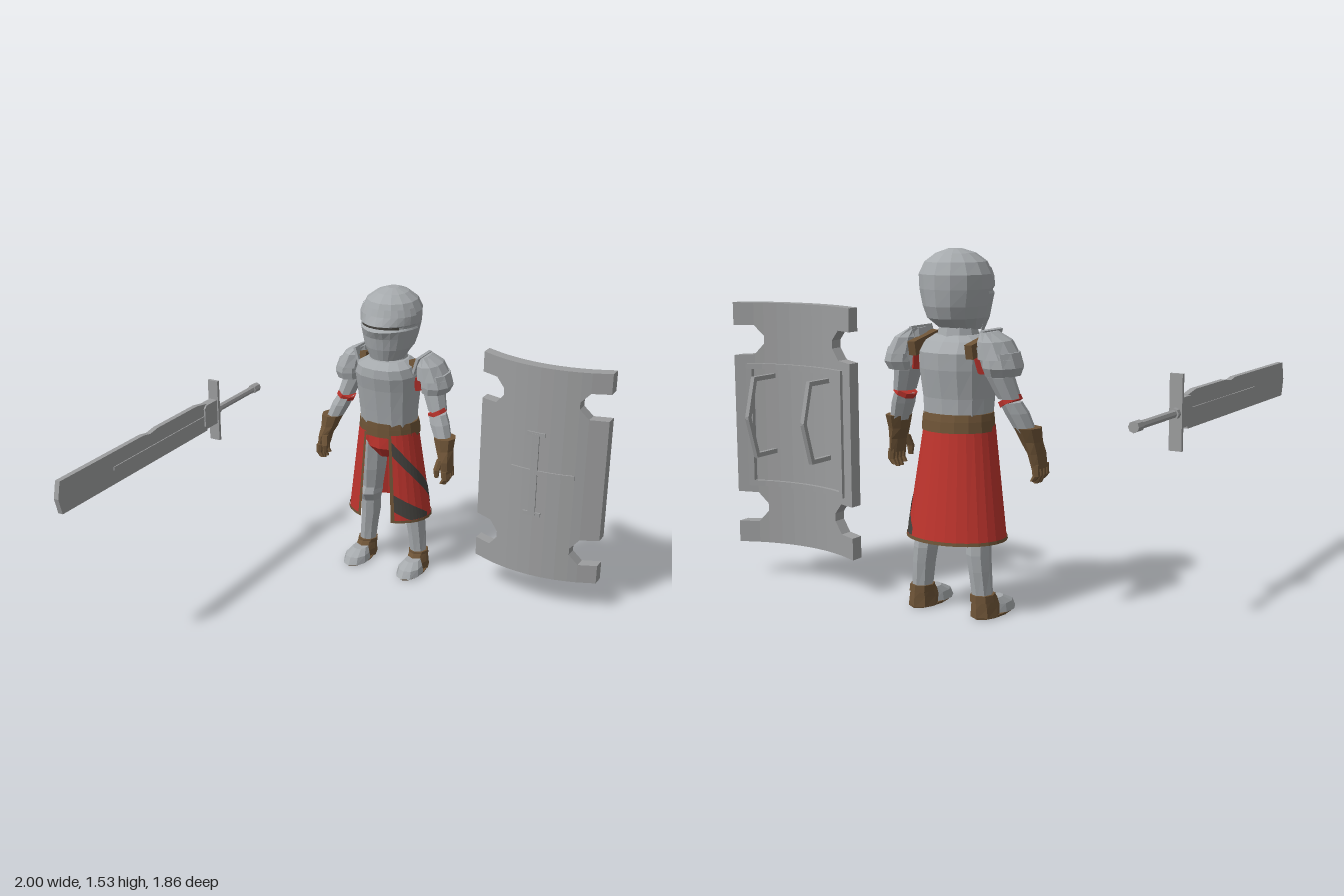
import * as THREE from 'three';

const mat = (name, color) =>
  new THREE.MeshStandardMaterial({ name, color, flatShading: true, side: THREE.DoubleSide });

export function createModel() {
  const steel = mat('armour steel', 0xa6aaad);
  const iron = mat('weapon iron', 0x9c9d9e);
  const red = mat('red cloth', 0xbe342d);
  const leather = mat('brown leather', 0x6e5437);
  const dark = mat('dark grey', 0x45433f);

  const root = new THREE.Group();
  root.name = 'armouredSoldier';
  const group = (name, parent = root) => {
    const g = new THREE.Group();
    g.name = name;
    parent.add(g);
    return g;
  };
  const add = (parent, name, geo, material) => {
    const m = new THREE.Mesh(geo, material);
    m.name = name;
    parent.add(m);
    return m;
  };

  const fromGrid = (pos, idx) => {
    const g = new THREE.BufferGeometry();
    g.setAttribute('position', new THREE.Float32BufferAttribute(pos, 3));
    g.setIndex(idx);
    g.computeVertexNormals();
    return g;
  };

  // Skin over stacked rings [x, y, z, rx, rz, beak]; a0..a1 limits the arc (0 = front)
  function loft(rings, { n = 10, a0 = 0, a1 = Math.PI * 2, e = 1, s = 1 } = {}) {
    const rs = rings[0][1] > rings.at(-1)[1] ? [...rings].reverse() : rings;
    const pos = [], idx = [], w = n + 1;
    const pow = (v) => Math.sign(v) * Math.abs(v) ** e;
    for (const [x, y, z, rx, rz, beak = 0] of rs)
      for (let j = 0; j <= n; j++) {
        const a = a0 + ((a1 - a0) * j) / n, c = Math.cos(a);
        pos.push(x * s + rx * pow(Math.sin(a)), y, z + rz * pow(c) + beak * Math.max(0, c) ** 5);
      }
    for (let i = 0; i < rs.length - 1; i++)
      for (let j = 0; j < n; j++) {
        const p = i * w + j;
        idx.push(p, p + 1, p + w + 1, p, p + w + 1, p + w);
      }
    if (a1 - a0 > 6.28)
      [0, rs.length - 1].forEach((r) => {
        const c = pos.length / 3;
        pos.push(rs[r][0] * s, rs[r][1], rs[r][2]);
        for (let j = 0; j < n; j++) {
          const p = r * w + j;
          r ? idx.push(c, p, p + 1) : idx.push(c, p + 1, p);
        }
      });
    return fromGrid(pos, idx);
  }

  // Square bar between two points
  function beam(parent, name, a, b, t, material) {
    const A = new THREE.Vector3(...a), B = new THREE.Vector3(...b);
    const m = add(parent, name, new THREE.BoxGeometry(t, t, A.distanceTo(B) + t * 0.7), material);
    m.position.copy(A).add(B).multiplyScalar(0.5);
    m.lookAt(B);
    return m;
  }

  const body = group('soldier');

  // Helmet with a beaked visor, brow and eye slit
  const helmet = group('helmet', body);
  add(helmet, 'helmetShell', loft([
    [0, 1.2, 0.02, 0.085, 0.085], [0, 1.25, -0.01, 0.118, 0.135], [0, 1.3, -0.012, 0.134, 0.152],
    [0, 1.37, -0.012, 0.15, 0.16], [0, 1.43, -0.015, 0.152, 0.158], [0, 1.48, -0.015, 0.127, 0.137],
    [0, 1.515, -0.015, 0.08, 0.09], [0, 1.533, -0.02, 0.028, 0.032]], { n: 14 }), steel);
  add(helmet, 'visor', loft([
    [0, 1.19, 0.025, 0.09, 0.1], [0, 1.25, 0, 0.125, 0.145], [0, 1.31, -0.008, 0.142, 0.158, 0.008],
    [0, 1.35, -0.01, 0.152, 0.166, 0.024], [0, 1.36, -0.01, 0.148, 0.158]],
    { n: 12, a0: -1.5, a1: 1.5 }), steel);
  add(helmet, 'brow', loft([
    [0, 1.37, -0.01, 0.15, 0.16], [0, 1.378, -0.01, 0.155, 0.166, 0.018], [0, 1.42, -0.013, 0.156, 0.163],
    [0, 1.455, -0.015, 0.144, 0.152]], { n: 12, a0: -1.35, a1: 1.35 }), steel);
  add(helmet, 'eyeSlit', loft([[0, 1.358, -0.01, 0.149, 0.161], [0, 1.372, -0.01, 0.15, 0.161]],
    { n: 10, a0: -0.75, a1: 0.75 }), dark);

  // Torso
  add(body, 'cuirass', loft([
    [0, 0.83, 0, 0.146, 0.124], [0, 0.92, 0.005, 0.15, 0.134], [0, 1.04, 0.005, 0.16, 0.155],
    [0, 1.11, 0.012, 0.165, 0.165], [0, 1.155, 0.03, 0.145, 0.145], [0, 1.18, 0.015, 0.1, 0.1]],
    { n: 14, e: 0.85 }), steel);
  add(body, 'gorget', loft([[0, 1.14, 0, 0.1, 0.1], [0, 1.22, 0, 0.08, 0.08]]), steel);
  add(body, 'belt', loft([[0, 0.78, -0.005, 0.163, 0.138], [0, 0.825, -0.003, 0.16, 0.136],
    [0, 0.855, 0, 0.155, 0.132]], { n: 16 }), leather);
  add(body, 'breeches', loft([[0, 0.8, 0, 0.145, 0.115], [0, 0.71, 0, 0.12, 0.115],
    [0, 0.65, 0, 0.045, 0.07]], { n: 12 }), red);

  // Skirt, open at the front, with trim and slanted bands on its left
  const skirt = group('skirt', body), OPEN = 0.42, BACK = Math.PI * 2 - OPEN;
  const lerp = THREE.MathUtils.lerp;
  function skirtPatch(name, lo, hi, a0, a1, n, off, material) {
    const pos = [], idx = [];
    for (let j = 0; j <= n; j++) {
      const a = a0 + ((a1 - a0) * j) / n;
      for (const y of [lo(a), hi(a)]) {
        const t = (0.8 - y) / 0.48;
        pos.push((lerp(0.158, 0.225, t) + off) * Math.sin(a), y,
          lerp(0.005, -0.022, t) + (lerp(0.134, 0.174, t) + off) * Math.cos(a));
      }
      if (j < n) idx.push(2 * j, 2 * j + 2, 2 * j + 3, 2 * j, 2 * j + 3, 2 * j + 1);
    }
    add(skirt, name, fromGrid(pos, idx), material);
  }
  const low = () => 0.32, high = () => 0.8;
  skirtPatch('skirtCloth', low, high, OPEN, BACK, 24, 0, red);
  skirtPatch('hemTrim', low, () => 0.334, OPEN, BACK, 24, 0.004, leather);
  skirtPatch('leftEdgeTrim', low, high, OPEN - 0.02, OPEN + 0.07, 1, 0.004, leather);
  skirtPatch('rightEdgeTrim', low, high, BACK - 0.07, BACK + 0.02, 1, 0.004, leather);
  const band = (y, k, d) => (a) => Math.max(0.335, y - k * (a - OPEN) + d);
  skirtPatch('upperBand', band(0.745, 0.2, -0.04), band(0.745, 0.2, 0.035), OPEN + 0.07, 2.5, 18, 0.003, dark);
  skirtPatch('lowerBand', band(0.44, 0.12, -0.05), band(0.44, 0.12, 0.045), OPEN + 0.07, 1.5, 10, 0.003, dark);

  // Limbs, mirrored
  for (const s of [1, -1]) {
    const side = s > 0 ? 'left' : 'right';
    const arm = group(side + 'Arm', body), leg = group(side + 'Leg', body);
    const part = (p, name, rings, m, n = 8) => add(p, name, loft(rings, { n, s }), m);

    part(arm, 'upperArm', [[0.17, 1.14, -0.04, 0.06, 0.075], [0.23, 1.02, -0.04, 0.056, 0.065],
      [0.262, 0.93, -0.02, 0.047, 0.055]], steel);
    part(arm, 'sleeve', [[0.15, 1.1, -0.03, 0.035, 0.08], [0.165, 1.03, -0.03, 0.03, 0.065]], red);
    const cuff = part(arm, 'elbowBand', [[0, 0.011, 0, 0.048, 0.056], [0, -0.011, 0, 0.048, 0.056]], red);
    cuff.position.set(s * 0.263, 0.92, -0.016);
    cuff.rotation.z = s * 0.45;
    part(arm, 'forearm', [[0.265, 0.915, -0.015, 0.045, 0.053], [0.285, 0.87, 0, 0.05, 0.055],
      [0.318, 0.79, 0.02, 0.042, 0.047]], steel);
    part(arm, 'pauldronLower', [[0.235, 1.12, -0.04, 0.068, 0.1], [0.245, 1.06, -0.04, 0.08, 0.105],
      [0.24, 1.025, -0.035, 0.07, 0.09]], steel, 10);
    part(arm, 'pauldronUpper', [[0.178, 1.2, -0.04, 0.02, 0.065], [0.205, 1.165, -0.04, 0.06, 0.1],
      [0.228, 1.095, -0.04, 0.083, 0.114]], steel, 10);
    const flange = add(arm, 'pauldronFlange', new THREE.BoxGeometry(0.014, 0.1, 0.15), steel);
    flange.position.set(s * 0.163, 1.16, -0.02);
    flange.rotation.z = -s * 0.3;
    const strap = add(arm, 'shoulderStrap', new THREE.BoxGeometry(0.035, 0.06, 0.18), leather);
    strap.position.set(s * 0.14, 1.14, -0.05);
    strap.rotation.x = -0.2;

    // Gauntlet with four fingers and a thumb
    part(arm, 'gauntlet', [[0.325, 0.81, 0.02, 0.058, 0.06], [0.335, 0.75, 0.035, 0.045, 0.05],
      [0.35, 0.7, 0.05, 0.032, 0.054], [0.36, 0.64, 0.055, 0.026, 0.05]], leather);
    for (let i = 0; i < 4; i++) {
      const z = 0.017 + i * 0.026, d = i % 3 ? 0 : 0.012;
      part(arm, 'finger', [[0.362, 0.655, z, 0.018, 0.014], [0.366, 0.61, z, 0.016, 0.013],
        [0.35, 0.575 + d, z, 0.012, 0.011]], leather, 6);
    }
    part(arm, 'thumb', [[0.335, 0.71, 0.085, 0.02, 0.018], [0.325, 0.66, 0.105, 0.017, 0.016],
      [0.325, 0.62, 0.105, 0.011, 0.011]], leather, 6);

    // Leg plates, boot and toe cap
    part(leg, 'thigh', [[0.08, 0.72, 0, 0.068, 0.085], [0.098, 0.55, -0.015, 0.066, 0.078],
      [0.115, 0.42, -0.03, 0.058, 0.066]], steel);
    part(leg, 'knee', [[0.115, 0.44, -0.025, 0.055, 0.065], [0.12, 0.4, -0.025, 0.064, 0.078],
      [0.126, 0.35, -0.04, 0.055, 0.062]], steel);
    part(leg, 'greave', [[0.127, 0.37, -0.045, 0.052, 0.058], [0.133, 0.27, -0.058, 0.05, 0.06],
      [0.142, 0.2, -0.06, 0.046, 0.056], [0.153, 0.08, -0.06, 0.044, 0.046]], steel);
    part(leg, 'ankleStrap', [[0.153, 0.1, -0.06, 0.053, 0.056], [0.155, 0.07, -0.06, 0.054, 0.058]], leather);
    part(leg, 'boot', [[0.155, 0.09, -0.055, 0.048, 0.058], [0.157, 0.045, -0.04, 0.056, 0.078],
      [0.158, 0.004, -0.045, 0.06, 0.075]], leather);
    part(leg, 'toeCap', [[0.158, 0.072, 0.015, 0.04, 0.05], [0.16, 0.045, 0.045, 0.06, 0.08],
      [0.16, 0.008, 0.05, 0.066, 0.098]], steel, 10);
    part(leg, 'sole', [[0.16, 0.01, 0.012, 0.063, 0.132], [0.16, 0, 0.012, 0.06, 0.128]], leather, 12);
  }
  body.position.set(-0.15, 0, -0.7);

  // Curved shield with notched sides, made of bent columns
  const shield = group('shield'), SX = 0.671;
  const front = (x) => -0.668 - 0.73 * x * x;
  function slab(name, x0, x1, bot, top, zf = 0, zb = -0.06) {
    const g = new THREE.BoxGeometry(1, 1, 1), p = g.attributes.position;
    for (let i = 0; i < p.count; i++) {
      const k = p.getX(i) > 0 ? 1 : 0, x = k ? x1 : x0;
      p.setXYZ(i, SX + x, (p.getY(i) > 0 ? top : bot)[k], front(x) + (p.getZ(i) > 0 ? zf : zb));
    }
    g.computeVertexNormals();
    add(shield, name, g, iron);
  }
  const cols = [-0.195, -0.13, -0.065, 0, 0.065, 0.13, 0.195];
  for (let i = 0; i < 6; i++) slab('shieldColumn', cols[i], cols[i + 1], [0.16, 0.16], [1.27, 1.27]);
  // Notch profile from the inside out: [x, ear bottom, body top, body bottom, lower ear top]
  const notch = [[0.195, 1.12, 1.085, 0.345, 0.31], [0.24, 1.167, 1.035, 0.395, 0.258], [0.329, 1.167, 1.03, 0.398, 0.258]];
  for (const s of [1, -1])
    for (let i = 0; i < 2; i++) {
      const [a, b] = s > 0 ? [notch[i], notch[i + 1]] : [notch[i + 1], notch[i]];
      slab('upperEar', s * a[0], s * b[0], [a[1], b[1]], [1.27, 1.27]);
      slab('shieldSide', s * a[0], s * b[0], [a[3], b[3]], [a[2], b[2]]);
      slab('lowerEar', s * a[0], s * b[0], [0.16, 0.16], [a[4], b[4]]);
    }
  // Raised cross on the face
  slab('crossUpright', -0.022, 0.014, [0.5, 0.5], [0.93, 0.93], 0.008, -0.01);
  for (const y of [0.925, 0.5]) slab('crossEnd', -0.05, 0.042, [y - 0.006, y - 0.006], [y + 0.014, y + 0.014], 0.008, -0.01);
  for (let i = 1; i < 6; i++) slab('crossArm', cols[i], cols[i + 1], [0.715, 0.715], [0.74, 0.74], 0.008, -0.01);
  // Frame and two grips on the back
  const rim = [-0.27, ...cols, 0.27];
  for (let i = 0; i < rim.length - 1; i++)
    for (const y of [0.43, 0.97]) slab('backFrame', rim[i], rim[i + 1], [y, y], [y + 0.025, y + 0.025], -0.03, -0.078);
  for (const x of [-0.27, 0.245]) slab('backFrame', x, x + 0.025, [0.43, 0.43], [0.995, 0.995], -0.03, -0.078);
  for (const x of [0.51, 0.825]) {
    const pts = [[0.94, -0.73], [0.94, -0.875], [0.77, -0.92], [0.595, -0.87], [0.595, -0.73]];
    for (let i = 0; i < 4; i++) beam(shield, 'grip', [x, ...pts[i]], [x, ...pts[i + 1]], 0.02, iron);
  }

  // Sword lying level, point forward
  const sword = group('sword');
  function plate(name, pts, t) {
    const g = new THREE.ExtrudeGeometry(new THREE.Shape(pts.map((p) => new THREE.Vector2(...p))),
      { depth: t, bevelEnabled: false });
    g.rotateY(-Math.PI / 2).translate(t / 2, 0, 0);
    add(sword, name, g, iron);
  }
  plate('blade', [[-0.22, 0.78], [0.91, 0.778], [0.93, 0.857], [0.91, 0.94], [0.3, 0.94], [0.25, 0.93],
    [0.19, 0.94], [-0.14, 0.94], [-0.22, 0.925]], 0.026);
  plate('bladeRidge', [[-0.19, 0.85], [0.54, 0.85], [0.54, 0.867], [-0.19, 0.867]], 0.036);
  plate('ricasso', [[-0.3, 0.795], [-0.21, 0.795], [-0.195, 0.81], [-0.195, 0.907], [-0.21, 0.922], [-0.3, 0.922]], 0.044);
  const guard = add(sword, 'crossguard', new THREE.BoxGeometry(0.058, 0.325, 0.016), iron);
  guard.position.set(0, 0.861, -0.308);
  for (const [name, r, z0, z1] of [['hilt', 0.018, -0.31, -0.67], ['hiltCollar', 0.025, -0.316, -0.34], ['pommel', 0.024, -0.66, -0.71]]) {
    const m = add(sword, name, new THREE.CylinderGeometry(r, r, z0 - z1, 8), iron);
    m.rotation.x = Math.PI / 2;
    m.position.set(0, 0.858, (z0 + z1) / 2);
  }
  sword.position.x = -0.968;

  return root;
}
